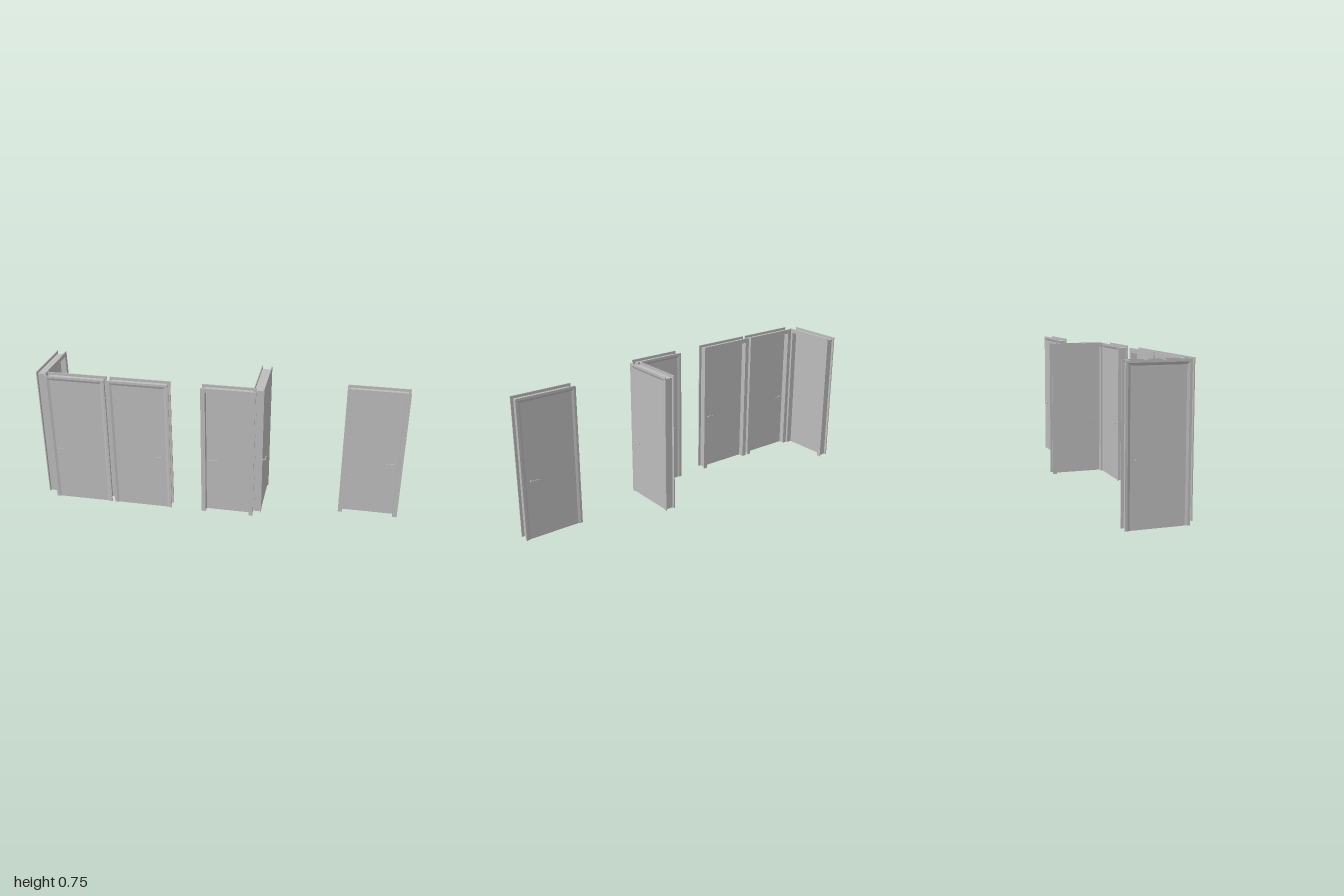
import * as THREE from 'three';

const HEIGHT = 0.753, DEPTH = 0.057, TRIM = 0.024, PLATE = 0.005, LEAF = 0.02;
const grey = new THREE.MeshStandardMaterial({ color: 0xbcbcbc });
grey.name = 'grey';

function add(group, name, geometry, x = 0, y = 0, z = 0) {
  const mesh = new THREE.Mesh(geometry, grey);
  mesh.name = name;
  mesh.position.set(x, y, z);
  group.add(mesh);
  return mesh;
}

// Sweeps a four-point profile [inset, z] up, across and down a door opening with mitred corners
function surround(width, profile) {
  const rings = [[-1, 0], [-1, 1], [1, 1], [1, 0]].map(([side, top]) =>
    profile.map(([inset, z]) => [side * (width / 2 - inset), top * (HEIGHT - inset), z]));
  const pos = [];
  const quad = (a, b, c, d) => pos.push(...a, ...b, ...c, ...a, ...c, ...d);
  for (let j = 0; j < 3; j++) {
    for (let k = 0; k < 4; k++) {
      const n = (k + 1) % 4;
      quad(rings[j][k], rings[j][n], rings[j + 1][n], rings[j + 1][k]);
    }
  }
  quad(...[...rings[0]].reverse());
  quad(...rings[3]);
  const geometry = new THREE.BufferGeometry();
  geometry.setAttribute('position', new THREE.Float32BufferAttribute(pos, 3));
  geometry.computeVertexNormals();
  return geometry;
}

// Tapered lever on a round stem, pointing along +x and standing off along +z
function makeHandle() {
  const handle = new THREE.Group();
  handle.name = 'handle';
  const outline = new THREE.Shape();
  outline.moveTo(0, -0.0055);
  outline.lineTo(0.014, -0.004);
  outline.lineTo(0.041, -0.0035);
  outline.lineTo(0.041, 0.0035);
  outline.lineTo(0.014, 0.004);
  outline.lineTo(0, 0.0055);
  outline.absarc(0, 0, 0.0055, Math.PI / 2, Math.PI * 1.5, false);
  const lever = new THREE.ExtrudeGeometry(outline, { depth: 0.004, bevelEnabled: false, curveSegments: 8 });
  add(handle, 'lever', lever, 0, 0, 0.013);
  const stem = new THREE.CylinderGeometry(0.003, 0.003, 0.014, 12).rotateX(Math.PI / 2);
  add(handle, 'stem', stem, 0, 0, 0.007);
  return handle;
}

// One door: its flush side faces local +z, its deep reveal faces local -z
function makeDoor(name, width, latchSide) {
  const door = new THREE.Group();
  door.name = name;
  const half = DEPTH / 2;
  const front = half - PLATE;

  // Bevelled casing on the flush side, flat casing on the reveal side
  add(door, 'flushCasing', surround(width, [[0, front], [0, half], [0.012, half], [TRIM, front]]));
  add(door, 'revealCasing', surround(width, [[0, -half], [0, PLATE - half], [TRIM, PLATE - half], [TRIM, -half]]));
  add(door, 'jamb', surround(width, [[0.014, PLATE - half], [0.014, front], [TRIM, front], [TRIM, PLATE - half]]));

  const leafHeight = HEIGHT - TRIM;
  add(door, 'leaf', new THREE.BoxGeometry(width - 2 * TRIM, leafHeight, LEAF), 0, leafHeight / 2, front - LEAF / 2);

  // A handle on each face of the leaf
  for (const face of [1, -1]) {
    const handle = makeHandle();
    handle.position.set(latchSide * (width / 2 - 0.047), 0.317, face > 0 ? front : front - LEAF);
    // A half turn about x or y faces the reveal, whichever keeps the lever pointing inward
    if (face > 0 && latchSide > 0) handle.rotation.z = Math.PI;
    if (face < 0) handle.rotation[latchSide > 0 ? 'y' : 'x'] = Math.PI;
    door.add(handle);
  }
  return door;
}

export function createModel() {
  const model = new THREE.Group();
  model.name = 'doorSet';
  const Q = Math.PI / 2;
  // name, width, latch side, x, z, turn
  const doors = [
    ['sideDoorRight', 0.313, -1, -0.960, -0.025, -Q],
    ['frontDoorOuter', 0.332, -1, -0.760, 0.144, 0],
    ['frontDoorInner', 0.332, 1, -0.412, 0.144, 0],
    ['narrowDoor', 0.289, 1, 0.070, 0.144, Math.PI],
    ['sideDoorLeft', 0.317, -1, 0.227, -0.026, Q],
    ['singleDoor', 0.324, -1, 0.838, 0.010, Math.PI],
  ];
  for (const [name, width, latch, x, z, turn] of doors) {
    const door = makeDoor(name, width, latch);
    door.position.set(x, 0, z);
    door.rotation.y = turn;
    model.add(door);
  }
  return model;
}
